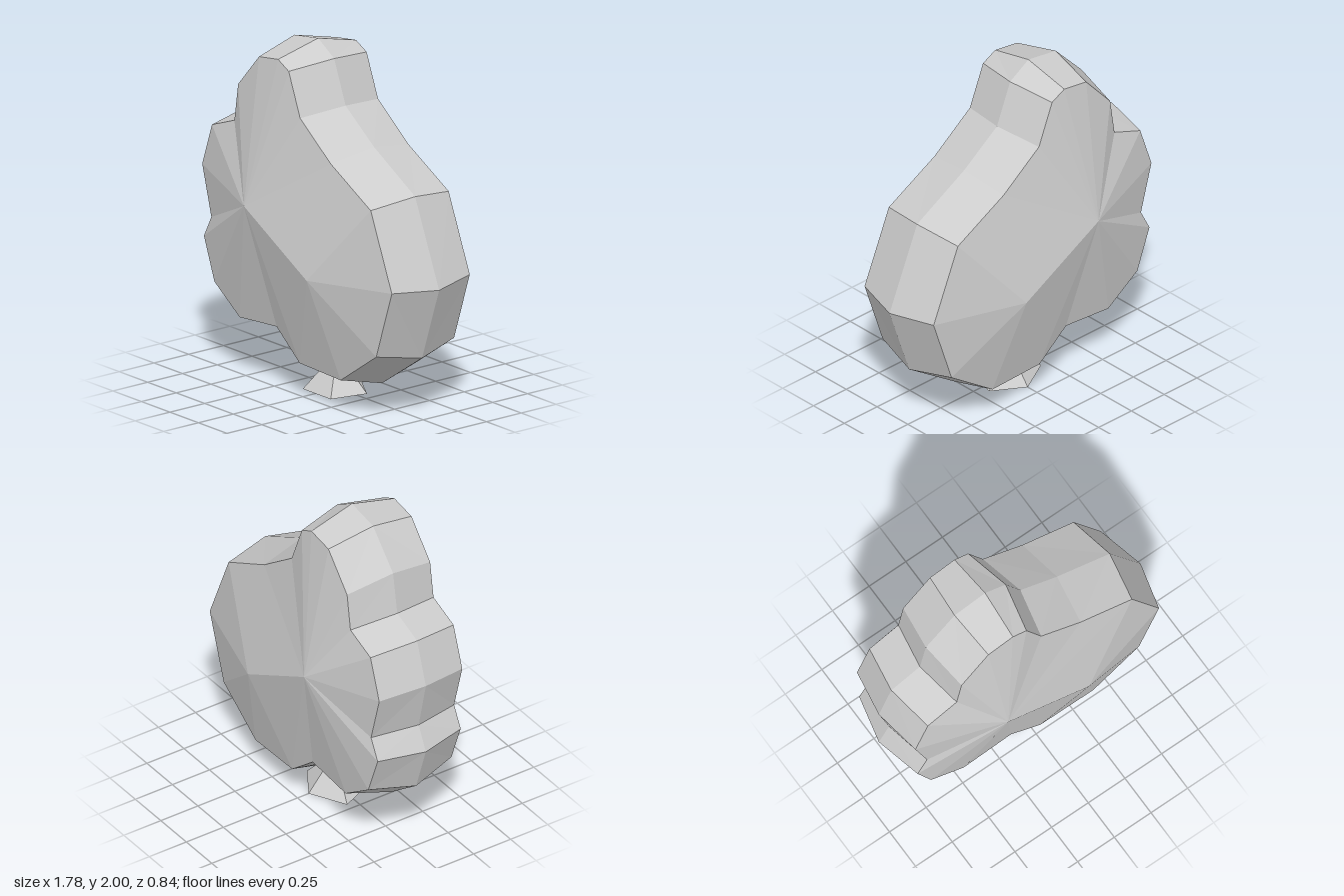
import * as THREE from 'three';

// Silhouette, clockwise from the top: [rim x, rim y, inset x, inset y]
const OUTLINE = [
  [-0.17, 2.0, -0.18, 1.93], [-0.03, 1.915, -0.087, 1.883], [0.07, 1.665, 0.013, 1.634],
  [0.32, 1.485, 0.283, 1.433], [0.68, 1.285, 0.632, 1.248], [0.89, 0.79, 0.817, 0.808],
  [0.74, 0.357, 0.68, 0.405], [0.39, 0.125, 0.368, 0.193], [0.005, 0.138, 0.008, 0.204],
  [-0.21, 0.3, -0.193, 0.368], [-0.56, 0.267, -0.516, 0.342], [-0.8, 0.447, -0.738, 0.495],
  [-0.895, 0.733, -0.83, 0.74], [-0.825, 0.876, -0.765, 0.866], [-0.895, 1.18, -0.845, 1.157],
  [-0.81, 1.438, -0.76, 1.406], [-0.615, 1.512, -0.563, 1.48], [-0.574, 1.76, -0.53, 1.7],
  [-0.378, 1.968, -0.347, 1.905],
];
const INSET_Z = 0.28, PEAK_Z = 0.42;
const PEAK_A = [-0.31, 1.07], PEAK_B = [0.24, 0.77];
const SPLIT_TOP = 4, SPLIT_BOTTOM = 8; // outline points where the two fans meet

function facetGeometry(triangles) {
  const geometry = new THREE.BufferGeometry();
  geometry.setAttribute('position', new THREE.Float32BufferAttribute(triangles.flat(2), 3));
  geometry.computeVertexNormals();
  return geometry;
}

// One half of the foliage: bevelled rim band plus two fans joined by a ridge
function foliageHalf(side) {
  const tris = [];
  const add = (a, b, c) => tris.push(side > 0 ? [a, b, c] : [a, c, b]);
  const rim = OUTLINE.map(([x, y]) => [x, y, 0]);
  const inset = OUTLINE.map(([, , x, y]) => [x, y, side * INSET_Z]);
  const a = [...PEAK_A, side * PEAK_Z];
  const b = [...PEAK_B, side * PEAK_Z];
  OUTLINE.forEach((_, i) => {
    const j = (i + 1) % OUTLINE.length;
    add(inset[i], inset[j], rim[j]);
    add(inset[i], rim[j], rim[i]);
    add(i >= SPLIT_TOP && i < SPLIT_BOTTOM ? b : a, inset[j], inset[i]);
  });
  add(a, b, inset[SPLIT_TOP]);
  add(a, inset[SPLIT_BOTTOM], b);
  return tris;
}

// Five-sided tapered foot with a closed base
function stemTriangles() {
  const base = [[-0.21, -0.06], [-0.11, 0.16], [0.135, 0.16], [0.185, -0.06], [0, -0.175]]
    .map(([x, z]) => [x, 0, z]);
  const tip = [-0.005, 0.215, 0], centre = [0, 0, 0];
  return base.flatMap((p, i) => {
    const q = base[(i + 1) % base.length];
    return [[p, q, tip], [q, p, centre]];
  });
}

export function createModel() {
  const group = new THREE.Group();
  const grey = new THREE.MeshStandardMaterial({ color: 0xcccccc, flatShading: true });
  grey.name = 'light grey';

  const foliage = new THREE.Mesh(facetGeometry([...foliageHalf(1), ...foliageHalf(-1)]), grey);
  foliage.name = 'foliage';
  const stem = new THREE.Mesh(facetGeometry(stemTriangles()), grey);
  stem.name = 'stem';
  group.add(foliage, stem);
  return group;
}
